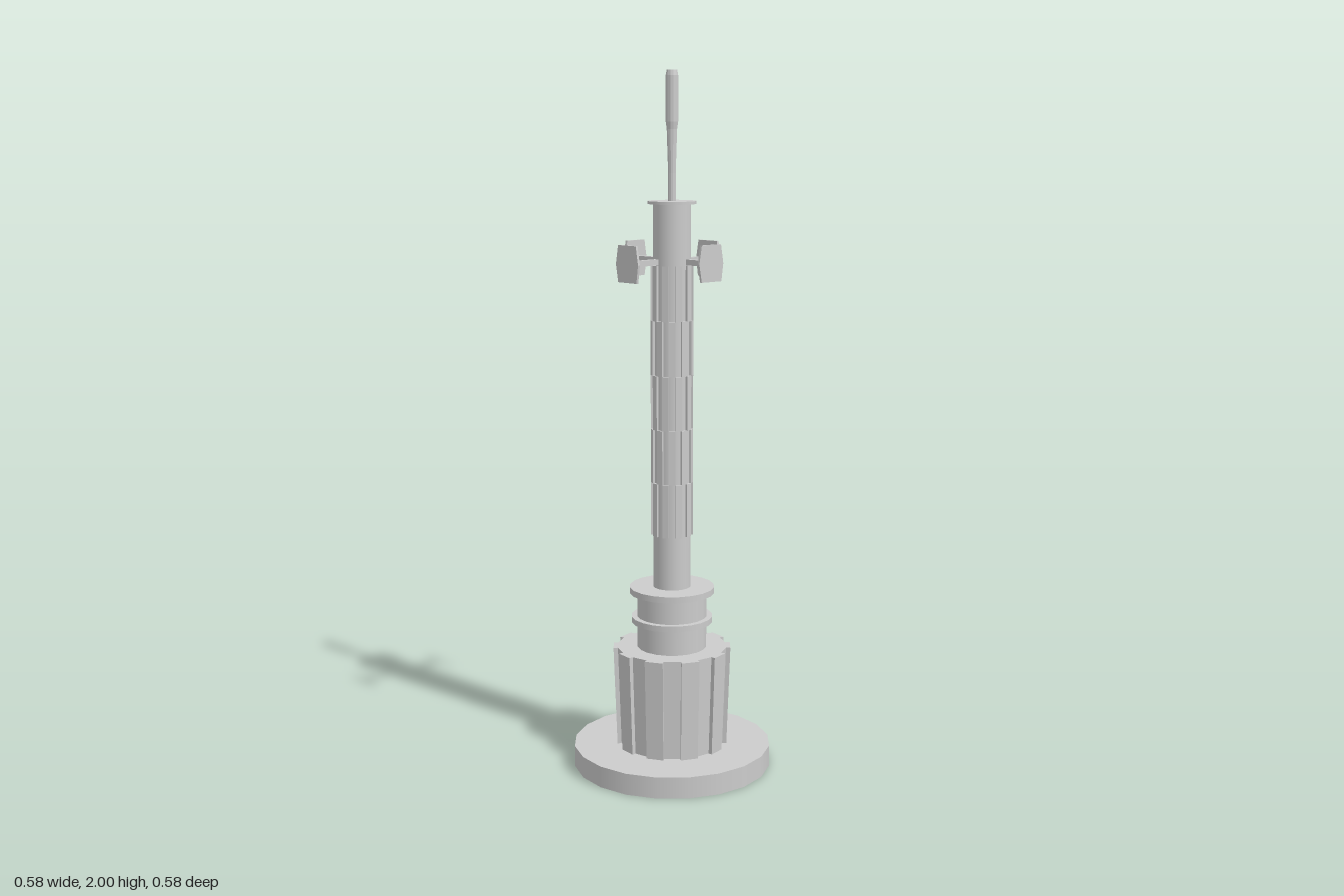
import * as THREE from 'three';

const SIDES = 20;
const smooth = new THREE.MeshStandardMaterial({ color: 0xcccccc });
const flat = new THREE.MeshStandardMaterial({ color: 0xcccccc, flatShading: true });

export function createModel() {
  const model = new THREE.Group();
  model.name = 'tower';

  function add(name, geometry, material = smooth, parent = model) {
    const mesh = new THREE.Mesh(geometry, material);
    mesh.name = name;
    parent.add(mesh);
    return mesh;
  }

  // Upright cylinder spanning y0 to y1
  function drum(name, r, y0, y1) {
    add(name, new THREE.CylinderGeometry(r, r, y1 - y0, SIDES)).position.y = (y0 + y1) / 2;
  }

  // Prism whose facets alternate between an outer and an inner radius
  function steppedPrism(name, outer, inner, y0, y1, phase = 0, bottomScale = 1) {
    const points = [];
    for (let i = 0; i < SIDES; i++) {
      const r = (i + phase) % 2 ? inner : outer;
      for (const k of [i, i + 1]) {
        const a = (k / SIDES) * Math.PI * 2;
        points.push(new THREE.Vector2(Math.sin(a) * r, Math.cos(a) * r));
      }
    }
    const height = y1 - y0;
    const geometry = new THREE.ExtrudeGeometry(new THREE.Shape(points), { depth: height, bevelEnabled: false });
    geometry.rotateX(-Math.PI / 2);
    const p = geometry.attributes.position;
    for (let i = 0; i < p.count; i++) {
      const s = THREE.MathUtils.lerp(bottomScale, 1, p.getY(i) / height);
      p.setX(i, p.getX(i) * s);
      p.setZ(i, p.getZ(i) * s);
    }
    geometry.computeVertexNormals();
    add(name, geometry, flat).position.y = y0;
  }

  // Base, ribbed pedestal and collared neck
  drum('base', 0.288, 0, 0.062);
  steppedPrism('pedestal', 0.172, 0.159, 0.062, 0.355, 0, 0.94);
  drum('neck', 0.101, 0.355, 0.52);
  drum('lowerCollar', 0.118, 0.43, 0.447);
  drum('upperCollar', 0.123, 0.517, 0.535);

  // Column with a chequered cladding of raised panels
  drum('column', 0.054, 0.535, 1.635);
  const rows = 5, low = 0.69, rowHeight = 0.155;
  for (let i = 0; i < rows; i++) {
    const y = low + i * rowHeight;
    steppedPrism('claddingRow', 0.061, 0.05, y, y + rowHeight, i % 2);
  }
  drum('cap', 0.069, 1.635, 1.643);

  // Mast with a thicker tip
  const profile = [[0, 1.64], [0.011, 1.64], [0.011, 1.72], [0.015, 1.84], [0.018, 1.86],
    [0.018, 1.985], [0.015, 2], [0, 2]].map(([x, y]) => new THREE.Vector2(x, y));
  add('mast', new THREE.LatheGeometry(profile, 12), flat);

  // Four arms with plates: turn about y, plate distance, plate tilt
  const plateShape = new THREE.Shape([[-0.036, -0.05], [0.038, -0.05], [0.045, 0], [0.036, 0.052],
    [-0.036, 0.052], [-0.045, 0]].map(([x, y]) => new THREE.Vector2(x, y)));
  const arms = [[0, 0.165, -0.03], [0.5, 0.135, -0.06], [1, 0.142, 0], [1.5, 0.15, 0.06]];
  for (const [turn, reach, tilt] of arms) {
    const arm = new THREE.Group();
    arm.name = 'antennaArm';
    arm.position.y = 1.475;
    arm.rotation.y = turn * Math.PI;
    model.add(arm);
    const length = reach - 0.04;
    const offset = turn === 0.5 ? 0.01 : -0.008;
    add('strut', new THREE.BoxGeometry(0.016, 0.016, length), flat, arm)
      .position.set(offset, 0, 0.04 + length / 2);
    const plate = add('plate', new THREE.ExtrudeGeometry(plateShape, { depth: 0.007, bevelEnabled: false }), flat, arm);
    plate.position.set(turn === 0.5 ? 0.015 : turn === 1.5 ? -0.002 : -0.006, 0, reach - 0.0035);
    plate.rotation.y = tilt;
  }
  return model;
}
